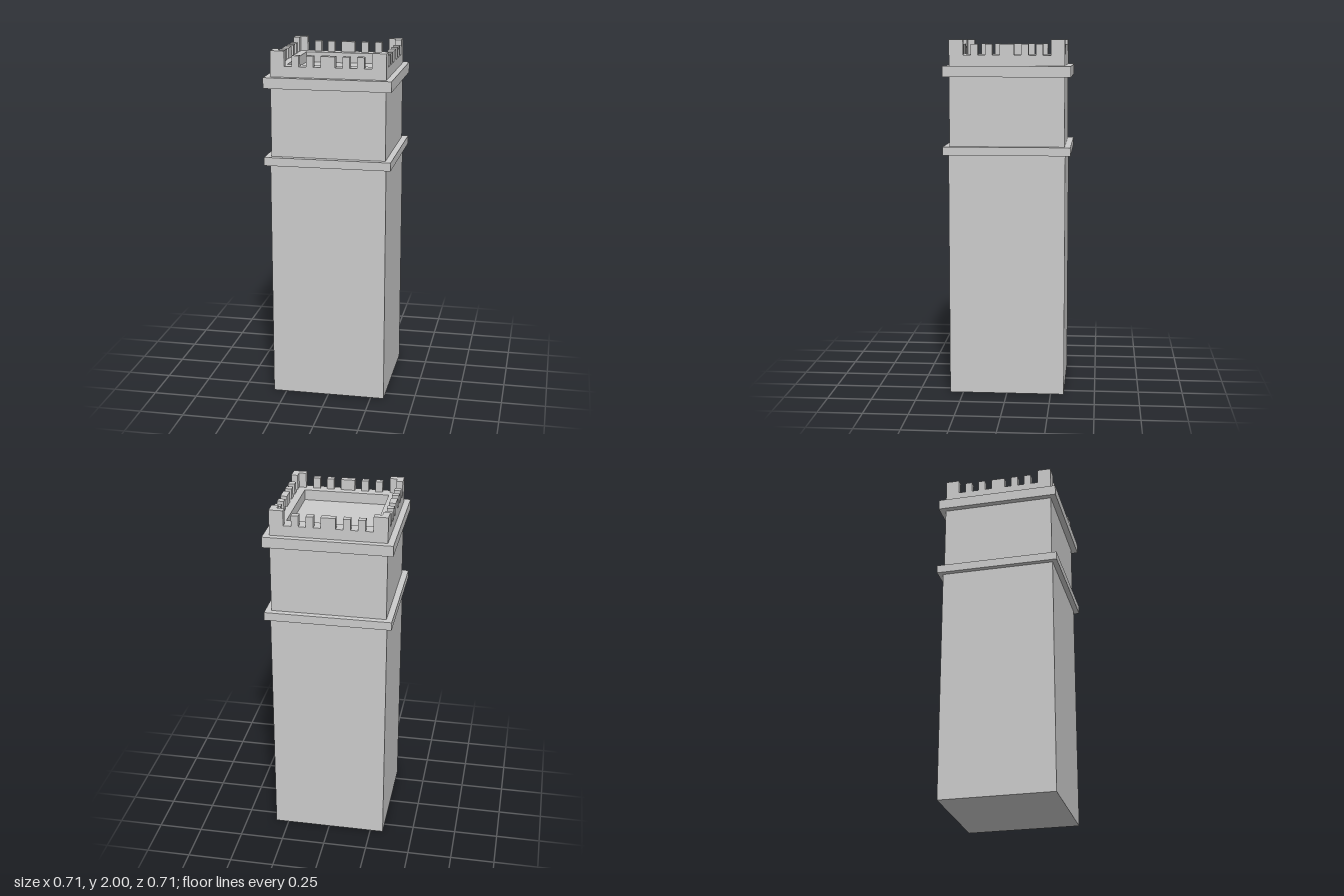
import * as THREE from 'three';

const material = new THREE.MeshStandardMaterial({ color: 0xcccccc, flatShading: true });

// Heights of the stacked levels
const Y = { belt: 1.365, beltTop: 1.412, cornice: 1.797, corniceTop: 1.857, parapet: 1.916, merlon: 1.976, top: 2 };
const OUTER = 0.32, INNER = 0.283, WELL = 0.242;

function add(parent, name, geometry) {
  const mesh = new THREE.Mesh(geometry, material);
  mesh.name = name;
  parent.add(mesh);
  return mesh;
}

// Square block centred on the tower axis, between two heights
function block(parent, name, half, y0, y1) {
  add(parent, name, new THREE.BoxGeometry(half * 2, y1 - y0, half * 2)).position.y = (y0 + y1) / 2;
}

// Plan outline raised between two heights
function raise(shape, y0, y1) {
  return new THREE.ExtrudeGeometry(shape, { depth: y1 - y0, bevelEnabled: false })
    .rotateX(-Math.PI / 2).translate(0, y0, 0);
}

const outline = (points) => points.map(([x, y]) => new THREE.Vector2(x, y));
const square = (h) => outline([[-h, -h], [h, -h], [h, h], [-h, h]]);

export function createModel() {
  const tower = new THREE.Group();
  tower.name = 'tower';

  // Main body and projecting courses
  block(tower, 'shaft', 0.325, 0, Y.belt);
  block(tower, 'beltCourse', 0.354, Y.belt, Y.beltTop);
  block(tower, 'upperStorey', OUTER, Y.beltTop, Y.cornice);
  block(tower, 'cornice', 0.354, Y.cornice, Y.corniceTop);

  // Parapet ring around the sunken roof
  const ring = new THREE.Shape(square(OUTER));
  ring.holes.push(new THREE.Path(square(WELL)));
  add(tower, 'parapet', raise(ring, Y.corniceTop, Y.parapet));

  // Each side: five merlons and one taller L-shaped corner
  const corner = new THREE.Shape(outline([
    [OUTER, OUTER], [WELL, OUTER], [WELL, INNER], [INNER, INNER], [INNER, WELL], [OUTER, WELL],
  ]));
  const merlons = [[-0.18, 0.04], [-0.1, 0.04], [0, 0.08], [0.1, 0.04], [0.18, 0.04]];
  for (let i = 0; i < 4; i++) {
    const side = new THREE.Group();
    side.name = 'battlementSide';
    side.rotation.y = i * Math.PI / 2;
    for (const [x, width] of merlons) {
      const geometry = new THREE.BoxGeometry(width, Y.merlon - Y.parapet, OUTER - INNER);
      add(side, 'merlon', geometry).position.set(x, (Y.parapet + Y.merlon) / 2, (OUTER + INNER) / 2);
    }
    add(side, 'cornerMerlon', raise(corner, Y.parapet, Y.top));
    tower.add(side);
  }
  return tower;
}
